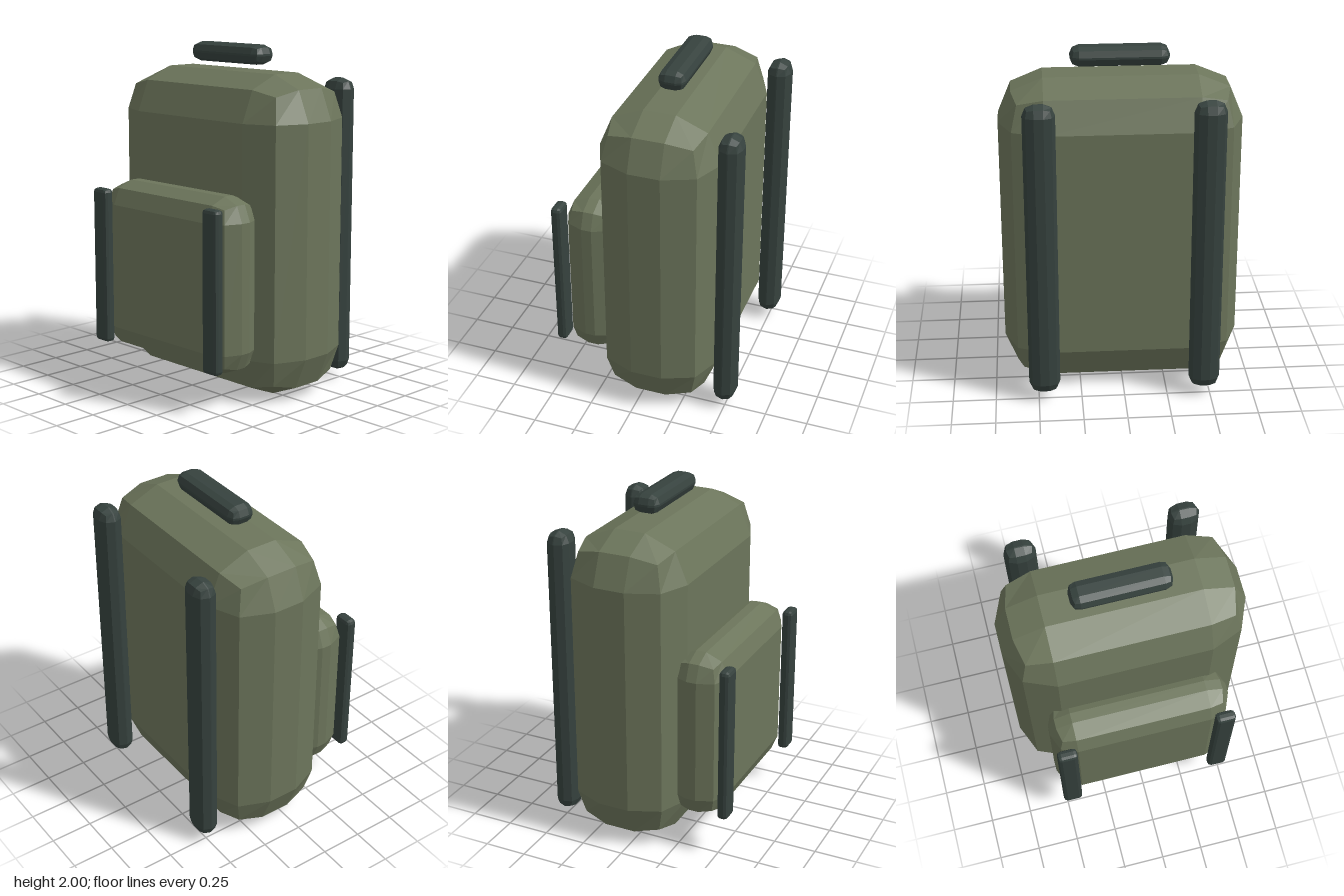
import * as THREE from 'three';
import { RoundedBoxGeometry } from 'three/addons/geometries/RoundedBoxGeometry.js';

const canvas = new THREE.MeshStandardMaterial({ color: 0x6c755b });
canvas.name = 'olive canvas';
const webbing = new THREE.MeshStandardMaterial({ color: 0x36423e });
webbing.name = 'dark webbing';

// Faceted box with a two-step bevel, given by its min and max corners
function bevelBox(name, min, max, radius, material) {
  const size = max.map((v, i) => v - min[i]);
  const geometry = new RoundedBoxGeometry(...size, 1, radius);
  geometry.computeVertexNormals(); // unshared corners give flat facets
  const mesh = new THREE.Mesh(geometry, material);
  mesh.name = name;
  mesh.position.set(...max.map((v, i) => (v + min[i]) / 2));
  return mesh;
}

export function createModel() {
  const model = new THREE.Group();
  model.name = 'backpack';

  // Main bag and front pocket
  model.add(bevelBox('body', [-0.69, 0, -0.425], [0.69, 1.85, 0.27], 0.255, canvas));
  model.add(bevelBox('frontPocket', [-0.53, 0.19, 0.17], [0.53, 1.2, 0.5], 0.135, canvas));

  // Carry handle
  model.add(bevelBox('topHandle', [-0.28, 1.888, -0.155], [0.28, 2, 0.003], 0.05, webbing));

  // Shoulder straps at the back, pocket straps at the front
  for (const [side, s] of [['left', 1], ['right', -1]]) {
    const shoulder = bevelBox(side + 'ShoulderStrap', [-0.09, 0.05, -0.56], [0.09, 1.805, -0.425], 0.064, webbing);
    const pocket = bevelBox(side + 'PocketStrap', [-0.058, 0.235, 0.493], [0.058, 1.16, 0.558], 0.022, webbing);
    shoulder.position.x = s * 0.465;
    pocket.position.x = s * 0.465;
    model.add(shoulder, pocket);
  }
  return model;
}
